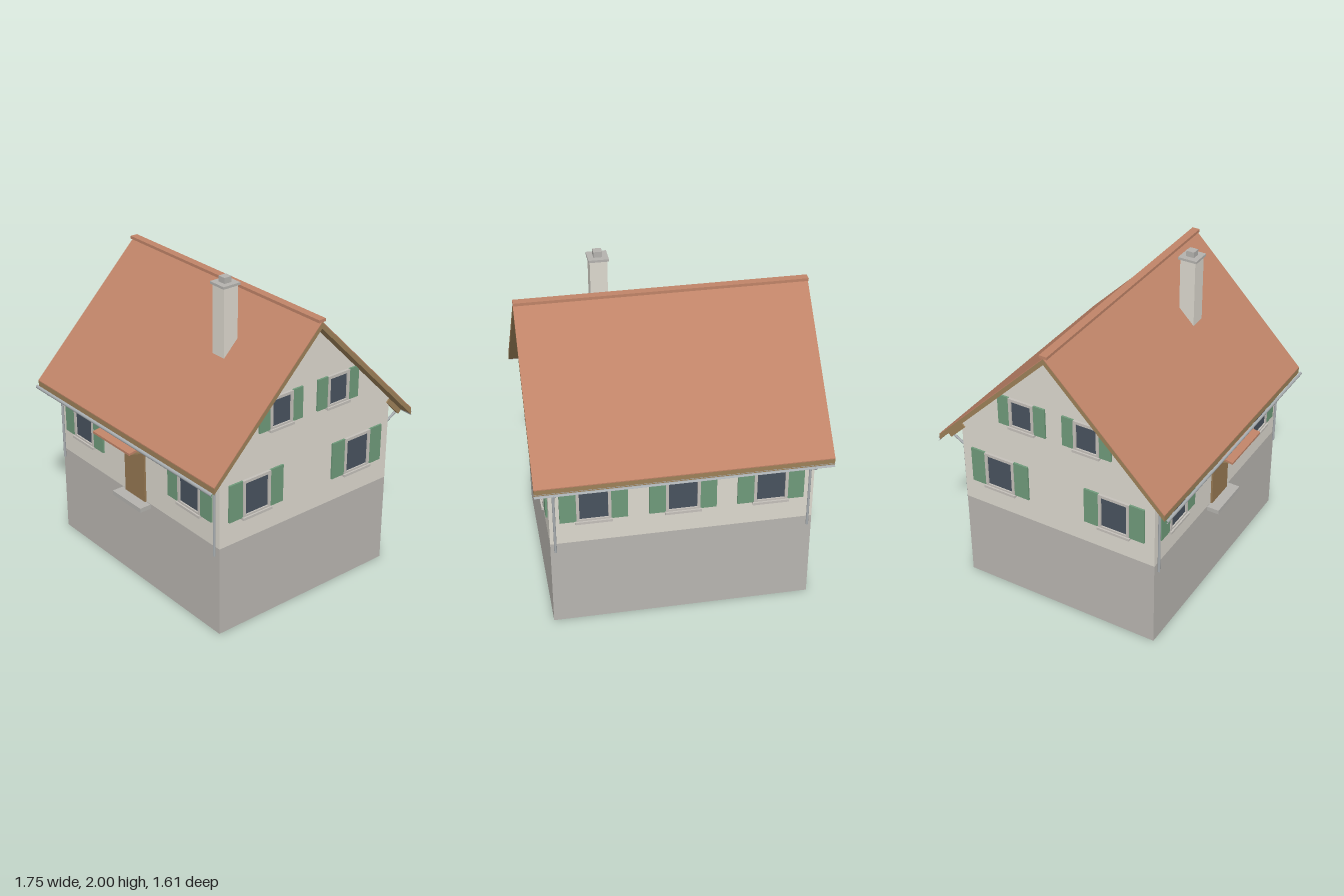
import * as THREE from 'three';

const mat = (color) => new THREE.MeshStandardMaterial({ color, side: THREE.DoubleSide });
const M = {
  wall: mat(0xdcd8ce), base: mat(0xb8b5b0), tile: mat(0xc08468), wood: mat(0x9c8058),
  door: mat(0x967852), shutter: mat(0x6f9a7a), glass: mat(0x48525e),
  frame: mat(0xc4c0ba), metal: mat(0xa8adb0), stone: mat(0xb4b2ae),
};

const W = 0.787, D = 0.658;             // half width and half depth of the walls
const BASE = 0.58;                      // top of the plinth
const ROOF_HALF = 0.873, EAVE = 0.765;  // half length of the roof, eave distance from the ridge
const RIDGE = 1.83, UNDER = 1.787;      // top and underside of the roof at the ridge

function add(parent, name, geometry, material, x = 0, y = 0, z = 0) {
  const mesh = new THREE.Mesh(geometry, material);
  mesh.name = name;
  mesh.position.set(x, y, z);
  parent.add(mesh);
  return mesh;
}
const box = (w, h, d) => new THREE.BoxGeometry(w, h, d);
const polygon = (points) => new THREE.Shape(points.map(([x, y]) => new THREE.Vector2(x, y)));
const rect = (w, h) => [[-w / 2, -h / 2], [w / 2, -h / 2], [w / 2, h / 2], [-w / 2, h / 2]];

// Framed window with sill and a pair of open shutters, centred on its opening
function makeWindow(w, h, shutterWidth) {
  const g = new THREE.Group();
  g.name = 'window';
  const ring = polygon(rect(w, h));
  ring.holes.push(polygon(rect(w - 0.036, h - 0.036)));
  const frame = new THREE.ExtrudeGeometry(ring, { depth: 0.026, bevelEnabled: false });
  add(g, 'windowFrame', frame, M.frame, 0, 0, -0.01);
  add(g, 'windowGlass', box(w - 0.03, h - 0.03, 0.014), M.glass);
  add(g, 'windowSill', box(w + 0.012, 0.016, 0.044), M.frame, 0, -h / 2 - 0.002, 0.004);
  for (const s of [-1, 1]) {
    add(g, 'shutter', box(shutterWidth, h - 0.002, 0.012), M.shutter, s * (w + shutterWidth) / 2, 0.002, 0.006);
  }
  return g;
}

// One side of the house: plinth, wall and windows, built facing +z and then turned
function makeFacade(name, angle, distance, half, gabled, windows) {
  const turn = new THREE.Group();
  turn.name = name;
  turn.rotation.y = angle;
  const g = new THREE.Group();
  g.position.z = distance;
  turn.add(g);
  const top = UNDER - D;
  const outline = [[-half, BASE], [half, BASE], [half, top], [-half, top]];
  if (gabled) outline.splice(3, 0, [0, UNDER]);
  add(g, 'plinth', new THREE.PlaneGeometry(half * 2, BASE), M.base, 0, BASE / 2);
  add(g, 'wall', new THREE.ShapeGeometry(polygon(outline)), M.wall);
  for (const [x, y, w, h, s] of windows) {
    const win = makeWindow(w, h, s);
    win.position.set(x, y, 0);
    g.add(win);
  }
  return turn;
}

// Gabled strip between two parallel slopes, extruded along x
function chevron(topY, underY, edge, halfLength) {
  const shape = polygon([
    [-edge, topY - edge * 1.01], [-edge, underY - edge * 1.01], [0, underY],
    [edge, underY - edge * 1.01], [edge, topY - edge * 1.01], [0, topY],
  ]);
  const geo = new THREE.ExtrudeGeometry(shape, { depth: halfLength * 2, bevelEnabled: false });
  return geo.translate(0, 0, -halfLength).rotateY(Math.PI / 2);
}

function makeRoof() {
  const g = new THREE.Group();
  g.name = 'roof';
  add(g, 'roofBoards', chevron(RIDGE - 0.006, UNDER, EAVE, ROOF_HALF), M.wood);
  add(g, 'roofTiles', chevron(RIDGE, RIDGE - 0.006, EAVE, ROOF_HALF), M.tile);
  add(g, 'ridgeCap', box(ROOF_HALF * 2, 0.018, 0.05), M.tile, 0, 1.834, 0);

  for (const s of [-1, 1]) {
    // Rafter tails under the eave
    for (let i = 0; i < 11; i++) {
      const rafter = add(g, 'rafterTail', box(0.02, 0.03, 0.15), M.wood, (i - 5) * 0.157, 1.058, s * 0.697);
      rafter.rotation.x = s * Math.PI / 4;
    }
    // Half-round gutter
    const gutter = new THREE.CylinderGeometry(0.012, 0.012, ROOF_HALF * 2, 10, 1, true, -Math.PI / 2, Math.PI);
    gutter.rotateZ(Math.PI / 2).rotateX(0);
    const trough = add(g, 'gutter', gutter, M.metal, 0, 1.016, s * 0.776);
    trough.rotation.x = 0;
    // Downpipes with a slanted elbow back to the wall
    for (const x of [-0.758, 0.758]) {
      const path = new THREE.CurvePath();
      const pts = [[1.005, 0.776], [0.945, 0.672], [0.53, 0.672]].map(([y, z]) => new THREE.Vector3(x, y, s * z));
      for (let i = 0; i < 2; i++) {
        path.add(new THREE.LineCurve3(pts[i], pts[i + 1]));
      }
      for (const part of path.curves) {
        add(g, 'downpipe', new THREE.TubeGeometry(part, 1, 0.008, 8), M.metal);
      }
    }
  }
  return g;
}

function makeChimney() {
  const g = new THREE.Group();
  g.name = 'chimney';
  g.position.set(0.343, 0, 0.254);
  add(g, 'chimneyStack', box(0.104, 0.46, 0.1), M.wall, 0, 1.72);
  add(g, 'chimneyCap', box(0.122, 0.015, 0.122), M.stone, 0, 1.957);
  add(g, 'chimneyPot', box(0.052, 0.036, 0.052), M.stone, 0, 1.982);
  return g;
}

// Front door with step and small canopy on struts
function makeEntrance() {
  const g = new THREE.Group();
  g.name = 'entrance';
  g.position.z = D;
  add(g, 'door', box(0.196, 0.375, 0.024), M.door, 0, 0.767, 0);
  add(g, 'doorStep', box(0.28, 0.028, 0.08), M.stone, 0, 0.563, 0.038);
  const profile = polygon([[0, 1.012], [0.175, 0.986], [0.175, 1.0], [0, 1.026]]);
  const slab = new THREE.ExtrudeGeometry(profile, { depth: 0.364, bevelEnabled: false });
  add(g, 'canopy', slab.translate(0, 0, -0.182).rotateY(-Math.PI / 2), M.tile);
  for (const x of [-0.165, 0.165]) {
    const strut = add(g, 'canopyStrut', box(0.012, 0.012, 0.168), M.wood, x, 0.97, 0.082);
    strut.rotation.x = -0.23;
  }
  return g;
}

export function createModel() {
  const model = new THREE.Group();
  model.name = 'house';
  const house = new THREE.Group();
  house.name = 'houseBody';
  house.position.z = -0.024;
  model.add(house);

  const lower = (x) => [x, 0.85, 0.205, 0.24, 0.098];
  const upper = (x) => [x, 1.326, 0.168, 0.2, 0.077];
  const gable = [lower(-0.394), lower(0.394), upper(-0.218), upper(0.218)];
  house.add(
    makeFacade('frontFacade', 0, D, W, false, [-0.526, 0.526].map(lower)),
    makeFacade('backFacade', Math.PI, D, W, false, [-0.526, 0, 0.526].map(lower)),
    makeFacade('leftFacade', Math.PI / 2, W, D, true, gable),
    makeFacade('rightFacade', -Math.PI / 2, W, D, true, gable),
    makeRoof(), makeChimney(), makeEntrance(),
  );
  return model;
}
